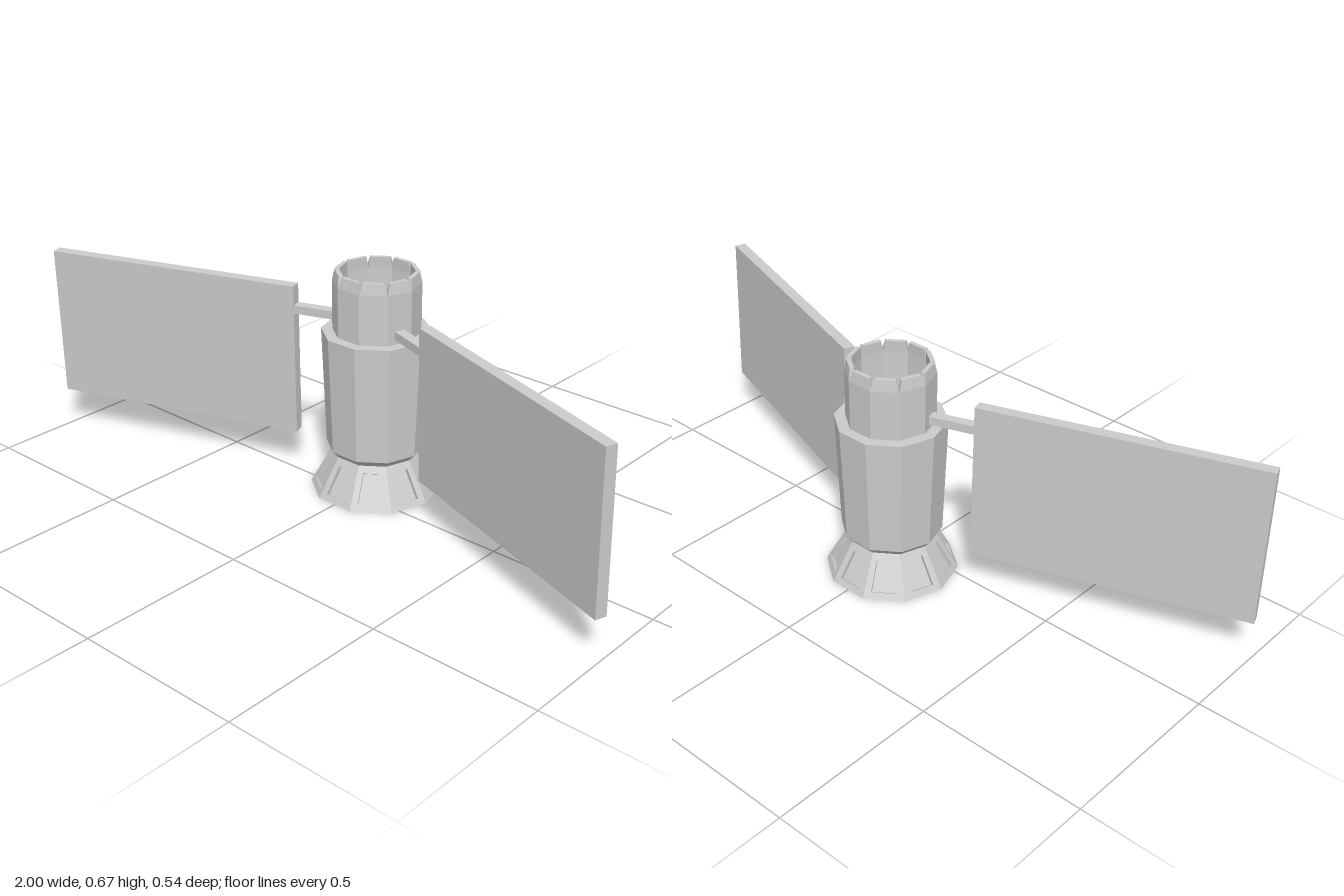
import * as THREE from 'three';

const SIDES = 10;
const STEP = (Math.PI * 2) / SIDES;
const material = new THREE.MeshStandardMaterial({ color: 0xcccccc, flatShading: true });

function addMesh(parent, name, geometry) {
  const mesh = new THREE.Mesh(geometry, material);
  mesh.name = name;
  parent.add(mesh);
  return mesh;
}

// Ten-sided ring from a [radius, height] profile, corners on the x axis
function ring(profile) {
  const points = profile.map(([r, y]) => new THREE.Vector2(r, y));
  const geometry = new THREE.LatheGeometry(points, SIDES, Math.PI / 2).toNonIndexed();
  geometry.computeVertexNormals();
  return geometry;
}

// Left and right ends of side k at radius r and height y, pulled in by a margin
function edge(k, r, y, margin = 0) {
  const corner = (i) => new THREE.Vector3(r * Math.cos(i * STEP), y, -r * Math.sin(i * STEP));
  const a = corner(k), b = corner(k + 1);
  const t = margin / a.distanceTo(b);
  return [a.clone().lerp(b, t), b.clone().lerp(a, t)];
}

function quadGeometry(quads) {
  const positions = [];
  for (const [a, b, c, d] of quads) {
    for (const p of [a, b, c, a, c, d]) positions.push(p.x, p.y, p.z);
  }
  const geometry = new THREE.BufferGeometry();
  geometry.setAttribute('position', new THREE.Float32BufferAttribute(positions, 3));
  geometry.computeVertexNormals();
  return geometry;
}

// Corners in order: bottom left, bottom right, top right, top left
const loop = ([bl, br], [tl, tr]) => [bl, br, tr, tl];

// Strip of four quads joining an outer loop to an inner loop
const frame = (outer, inner) => outer.map((p, i) => {
  const j = (i + 1) % 4;
  return [p, outer[j], inner[j], inner[i]];
});

// Flared skirt with a recessed window in every side
function skirtGeometry() {
  const radius = (y) => 0.192 - (y / 0.117) * 0.065;
  const low = 0.017, high = 0.097, inset = 0.0105, drop = 0.006;
  const quads = [];
  for (let k = 0; k < SIDES; k++) {
    const outer = loop(edge(k, radius(0), 0), edge(k, radius(0.117), 0.117));
    const opening = loop(edge(k, radius(low), low, 0.019), edge(k, radius(high), high, 0.017));
    const back = loop(
      edge(k, radius(low) - inset, low - drop, 0.016),
      edge(k, radius(high) - inset, high - drop, 0.014));
    quads.push(...frame(outer, opening), ...frame(opening, back), back);
  }
  return quadGeometry(quads);
}

// Crown of panels that lean in and part in V notches at the corners
function crownGeometry() {
  const base = 0.637, top = 0.67;
  const quads = [];
  for (let k = 0; k < SIDES; k++) {
    const [a, b] = edge(k, 0.1267, base);
    const [d, c] = edge(k, 0.1215, top, 0.008);
    const [e, f] = edge(k, 0.11, base);
    const [h, g] = edge(k, 0.108, top, 0.006);
    quads.push([a, b, c, d], [f, e, h, g], [d, c, g, h], [e, a, d, h], [b, f, g, c]);
  }
  return quadGeometry(quads);
}

// Flat panel with its arm, swept forward and leaning slightly
function wing(side) {
  const group = new THREE.Group();
  group.name = side > 0 ? 'leftWing' : 'rightWing';
  addMesh(group, 'panel', new THREE.BoxGeometry(0.8, 0.464, 0.034));
  const arm = addMesh(group, 'arm', new THREE.BoxGeometry(0.15, 0.025, 0.03));
  arm.position.set(-side * 0.472, 0.161, 0);
  group.position.set(side * 0.617, 0.356, 0.121);
  group.rotation.set(THREE.MathUtils.degToRad(1), -side * THREE.MathUtils.degToRad(19.1), 0, 'YXZ');
  return group;
}

export function createModel() {
  const model = new THREE.Group();
  model.name = 'satellite';

  // Hollow core
  const core = new THREE.Group();
  core.name = 'core';
  core.position.z = -0.087;
  addMesh(core, 'skirt', skirtGeometry());
  addMesh(core, 'body', ring([[0.127, 0.117], [0.145, 0.137], [0.159, 0.49], [0.1267, 0.49]]));
  addMesh(core, 'neck', ring([[0.1267, 0.49], [0.1267, 0.637]]));
  addMesh(core, 'crown', crownGeometry());
  addMesh(core, 'innerWall', ring([[0.11, 0.637], [0.097, 0.117], [0.174, 0], [0.192, 0]]));
  model.add(core);

  // Wings on both sides
  for (const side of [1, -1]) model.add(wing(side));
  return model;
}
